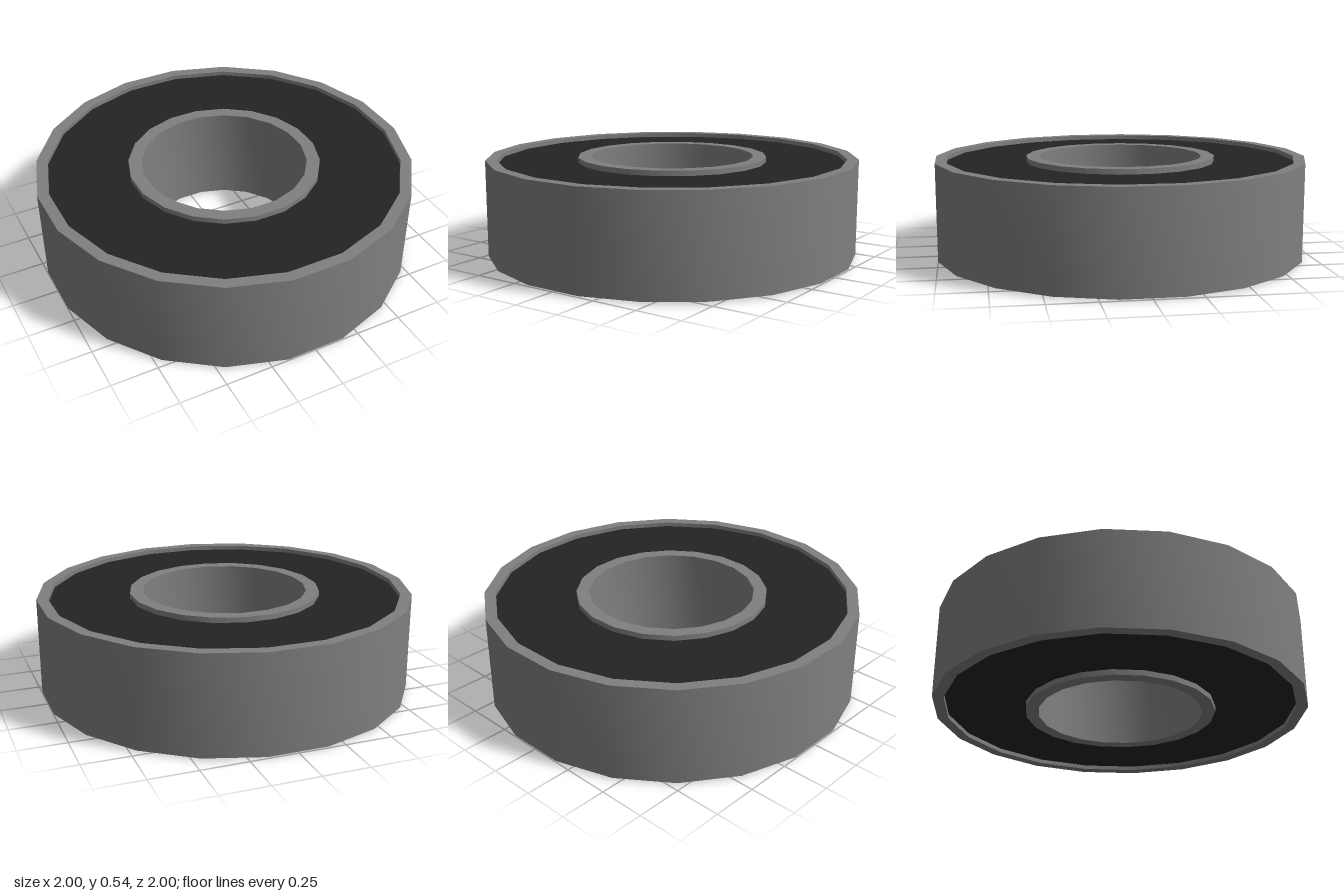
import * as THREE from 'three';
import { toCreasedNormals } from 'three/addons/utils/BufferGeometryUtils.js';

const SIDES = 20;
const HALF = Math.PI / SIDES;

// Ring of rectangular section; radii are measured to the middle of the flats.
function ring(name, inner, outer, bottom, top, material) {
  const k = 1 / Math.cos(HALF);
  const profile = [
    [outer, bottom], [outer, top], [inner, top], [inner, bottom], [outer, bottom],
  ].map(([r, y]) => new THREE.Vector2(r * k, y));
  const geometry = new THREE.LatheGeometry(profile, SIDES, HALF);
  const mesh = new THREE.Mesh(toCreasedNormals(geometry, Math.PI / 6), material);
  mesh.name = name;
  return mesh;
}

export function createModel() {
  const steel = new THREE.MeshStandardMaterial({ color: 0x808080 });
  const rubber = new THREE.MeshStandardMaterial({ color: 0x242424 });

  const bearing = new THREE.Group();
  bearing.name = 'ballBearing';
  bearing.add(
    ring('outerRace', 0.94, 1, 0.007, 0.532, steel),
    ring('innerRace', 0.44, 0.51, 0, 0.536, steel),
    // Seal sits slightly below both rims
    ring('seal', 0.51, 0.94, 0.03, 0.508, rubber),
  );
  return bearing;
}
